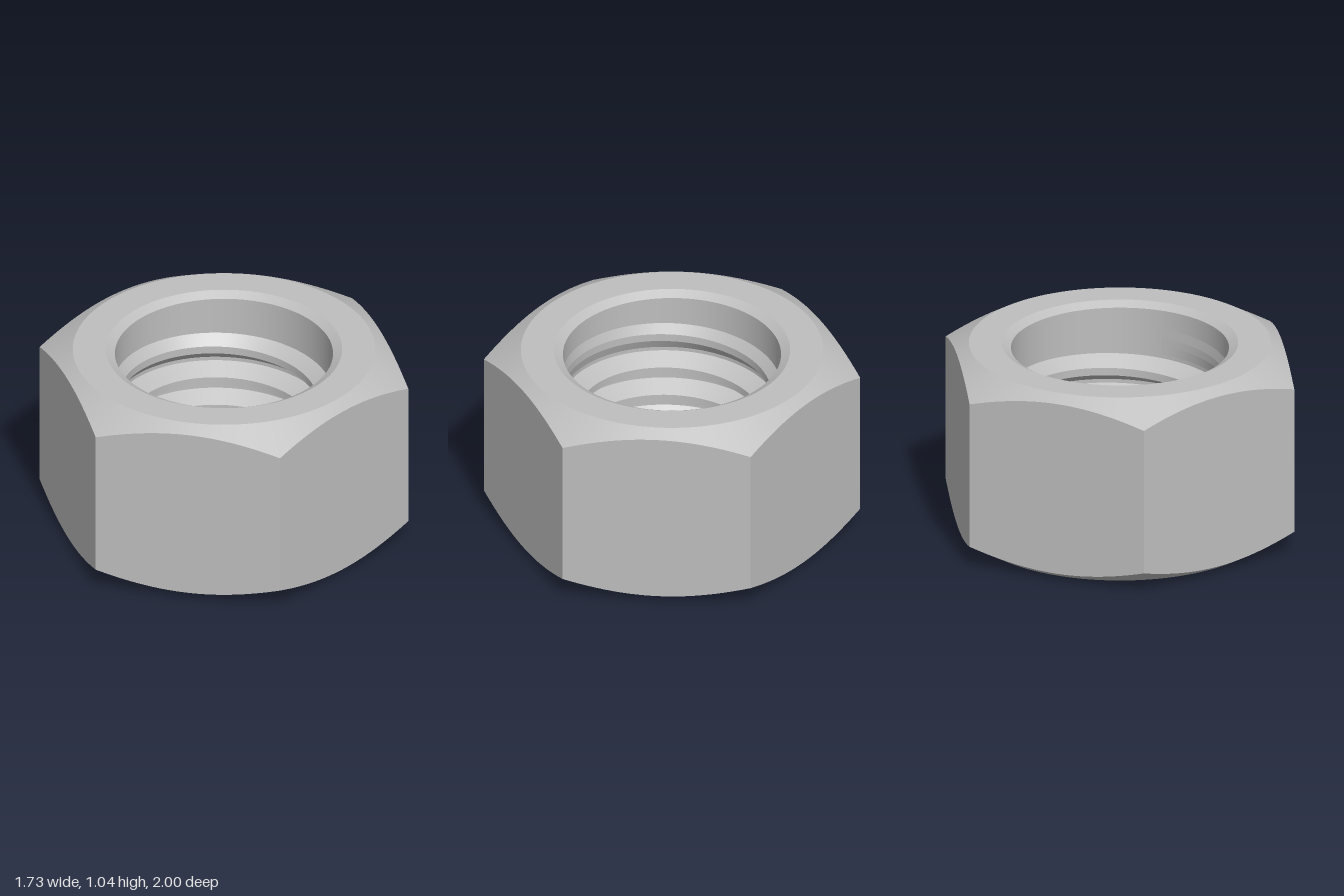
import * as THREE from 'three';

const HEIGHT = 1.04, FLAT = Math.sqrt(3) / 2; // height, half width across flats
const FACE_R = 0.8, MOUTH_R = 0.625, MAJOR = 0.577, MINOR = 0.486;
const PITCH = 0.168, SLOPE = Math.tan(Math.PI / 6);
const SEG = 144, TAU = Math.PI * 2;

// Surface swept round the y axis; profile(angle) gives [radius, y] points,
// ordered up the outside, inward on top, down the inside.
function sweep(profile, from, to, segments, closed = false) {
  const positions = [], indices = [];
  const columns = closed ? segments : segments + 1;
  let rows = 0;
  for (let i = 0; i < columns; i++) {
    const angle = from + ((to - from) * i) / segments;
    const points = profile(angle);
    rows = points.length;
    for (const [r, y] of points) positions.push(r * Math.cos(angle), y, -r * Math.sin(angle));
  }
  for (let i = 0; i < segments; i++) {
    const next = (i + 1) % columns;
    for (let j = 0; j < rows - 1; j++) {
      const a = i * rows + j, b = next * rows + j;
      indices.push(a, b, b + 1, a, b + 1, a + 1);
    }
  }
  const geometry = new THREE.BufferGeometry();
  geometry.setAttribute('position', new THREE.Float32BufferAttribute(positions, 3));
  geometry.setIndex(indices);
  geometry.computeVertexNormals();
  return geometry;
}

// Distance from the axis to the hexagon at an angle, with corners on +z and -z
function hexRadius(angle) {
  const sector = TAU / 6;
  return FLAT / Math.cos(angle - Math.round(angle / sector) * sector);
}

// Height lost to the conical chamfer at an angle
const chamferDrop = (angle) => (hexRadius(angle) - FACE_R) * SLOPE;

export function createModel() {
  const model = new THREE.Group();
  model.name = 'hexNut';
  const steel = new THREE.MeshStandardMaterial({ color: 0xbebebe });
  steel.name = 'steel grey';

  const add = (name, geometry, parent = model) => {
    const mesh = new THREE.Mesh(geometry, steel);
    mesh.name = name;
    parent.add(mesh);
  };
  const ring = (name, profile) => add(name, sweep(profile, 0, TAU, SEG, true));

  // Six flat sides with curved upper and lower edges
  const sides = new THREE.Group();
  sides.name = 'sides';
  model.add(sides);
  for (let k = 0; k < 6; k++) {
    const middle = (k * TAU) / 6;
    const wall = (a) => [
      [hexRadius(a), chamferDrop(a)],
      [hexRadius(a), HEIGHT - chamferDrop(a)],
    ];
    add('sideFace', sweep(wall, middle - TAU / 12, middle + TAU / 12, SEG / 6), sides);
  }

  // Conical corner chamfers, flat end faces and bevelled hole mouths
  const bevel = (MOUTH_R - MAJOR) * SLOPE;
  ring('topChamfer', (a) => [[hexRadius(a), HEIGHT - chamferDrop(a)], [FACE_R, HEIGHT]]);
  ring('topFace', () => [[FACE_R, HEIGHT], [MOUTH_R, HEIGHT]]);
  ring('topMouth', () => [[MOUTH_R, HEIGHT], [MAJOR, HEIGHT - bevel]]);
  ring('bore', () => [[MAJOR, HEIGHT - bevel], [MAJOR, bevel]]);
  ring('bottomMouth', () => [[MAJOR, bevel], [MOUTH_R, 0]]);
  ring('bottomFace', () => [[MOUTH_R, 0], [FACE_R, 0]]);
  ring('bottomChamfer', (a) => [[FACE_R, 0], [hexRadius(a), chamferDrop(a)]]);

  // Right-handed internal thread, fading into the bore over a turn at each end
  const turns = 4, start = 0.165;
  const crestHalf = PITCH / 8, rootHalf = (PITCH * 7) / 16;
  const threadPoints = (angle) => {
    const t = angle / TAU;
    const y = start + PITCH * t;
    const fade = Math.max(0, Math.min(1, t, turns - t));
    const crest = MAJOR - (MAJOR - MINOR) * fade;
    return [
      [MAJOR, y + rootHalf],
      [crest, y + crestHalf],
      [crest, y - crestHalf],
      [MAJOR, y - rootHalf],
    ];
  };
  const thread = new THREE.Group();
  thread.name = 'thread';
  model.add(thread);
  ['upperFlank', 'crest', 'lowerFlank'].forEach((name, j) => {
    const strip = (a) => threadPoints(a).slice(j, j + 2);
    add(name, sweep(strip, 0, TAU * turns, SEG * turns), thread);
  });

  return model;
}
